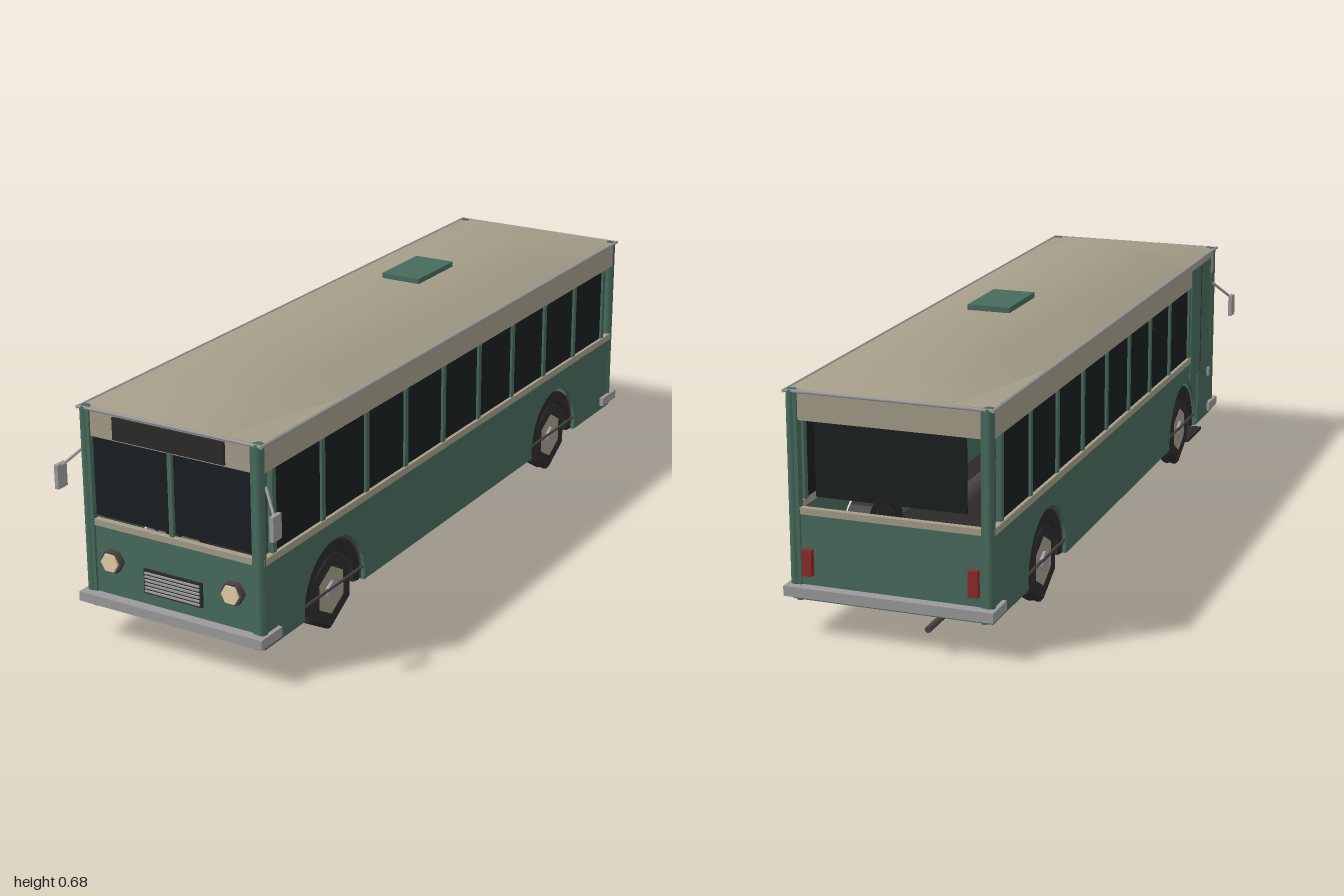
import * as THREE from 'three';

const mat = (color, opts = {}) => new THREE.MeshStandardMaterial({ color, ...opts });
const GREEN = mat(0x476b5c), BEIGE = mat(0xa39c88), GLASS = mat(0x1a1e20), DARK = mat(0x2b2a29);
const FRAME = mat(0x4a4442), GREY = mat(0x9a9a9c), RED = mat(0x8c2a26), LAMP = mat(0xe0cfa8);
const TYRE = mat(0x2c2c2c, { flatShading: true, side: THREE.DoubleSide });
const ROOF = mat(0xa39c88, { side: THREE.DoubleSide });
const WHEELS = [-0.575, 0.64];

export function createModel() {
  const bus = new THREE.Group();
  bus.name = 'bus';

  const add = (name, geo, material, x = 0, y = 0, z = 0, parent = bus) => {
    const m = new THREE.Mesh(geo, material);
    m.name = name;
    m.position.set(x, y, z);
    parent.add(m);
    return m;
  };
  // Box given by its limits on each axis
  const box = (name, material, [x0, x1], [y0, y1], [z0, z1]) =>
    add(name, new THREE.BoxGeometry(x1 - x0, y1 - y0, z1 - z0), material,
      (x0 + x1) / 2, (y0 + y1) / 2, (z0 + z1) / 2);
  // Box limits mirrored to the side s
  const sx = (s, a, b) => (s > 0 ? [a, b] : [-b, -a]);
  // Round bar between two points
  const rod = (name, material, a, b, r, sides = 6) => {
    const p = new THREE.Vector3(...a), q = new THREE.Vector3(...b), d = q.clone().sub(p);
    const m = add(name, new THREE.CylinderGeometry(r, r, d.length(), sides), material);
    m.position.copy(p).add(q).multiplyScalar(0.5);
    m.quaternion.setFromUnitVectors(new THREE.Vector3(0, 1, 0), d.normalize());
    return m;
  };

  // Roof: arched cross-section that flattens towards both ends
  const xs = [-0.26, -0.153, -0.06, 0.06, 0.153, 0.26];
  const hs = [0, 0.045, 0.063, 0.063, 0.045, 0];
  const zs = [-0.955, -0.58, 0.58, 0.955];
  const roof = new THREE.PlaneGeometry(1, 1, 5, 3);
  for (let j = 0; j < 4; j++)
    for (let i = 0; i < 6; i++)
      roof.attributes.position.setXYZ(j * 6 + i, xs[i], 0.6 + hs[i] * (j % 3 ? 1 : 0.04), zs[j]);
  roof.computeVertexNormals();
  add('roof', roof, ROOF);
  box('ceiling', BEIGE, [-0.255, 0.255], [0.592, 0.602], [-0.95, 0.95]);
  box('roofVent', GREEN, [-0.057, 0.057], [0.655, 0.677], [-0.31, -0.12]);

  // Lower side panel with wheel arches, drawn along z and turned to face sideways
  const side = new THREE.Shape();
  const bottom = 0.085, r = 0.14, dip = Math.asin(0.025 / r);
  side.moveTo(-0.955, bottom);
  for (const z of WHEELS) {
    side.lineTo(z - r * Math.cos(dip), bottom);
    side.absarc(z, 0.11, r, Math.PI + dip, -dip, true);
  }
  side.lineTo(0.955, bottom);
  side.lineTo(0.955, 0.302);
  side.lineTo(-0.955, 0.302);
  side.closePath();
  const sideGeo = new THREE.ExtrudeGeometry(side, { depth: 0.01, bevelEnabled: false, curveSegments: 14 });
  sideGeo.rotateY(-Math.PI / 2);

  // Trim ring inside each arch
  const lip = new THREE.Shape();
  lip.absarc(0, 0, 0.13, -dip, Math.PI + dip, false);
  lip.absarc(0, 0, 0.1, Math.PI + dip, -dip, true);
  const lipGeo = new THREE.ExtrudeGeometry(lip, { depth: 0.06, bevelEnabled: false, curveSegments: 10 });
  lipGeo.rotateY(-Math.PI / 2);

  // Six-sided tyre with rounded shoulders
  const tyreGeo = new THREE.LatheGeometry([[0.065, -0.027], [0.098, -0.027], [0.108, -0.019], [0.11, -0.01],
    [0.107, 0], [0.11, 0.01], [0.108, 0.019], [0.098, 0.027], [0.065, 0.027]]
    .map(p => new THREE.Vector2(...p)), 6);
  const disc = (name, material, rad, w, x, parent) => {
    const g = new THREE.CylinderGeometry(rad, rad, w, 6);
    g.rotateZ(Math.PI / 2);
    return add(name, g, material, x, 0, 0, parent);
  };

  for (const s of [1, -1]) {
    add('sidePanel', sideGeo, GREEN, s > 0 ? 0.255 : -0.245);
    box('sideSill', BEIGE, sx(s, 0.244, 0.259), [0.3, 0.318], [-0.955, s > 0 ? 0.955 : 0.7]);
    box('sideHeader', BEIGE, sx(s, 0.243, 0.257), [0.53, 0.6], [-0.955, 0.955]);
    rod('gutter', GREY, [s * 0.26, 0.6, -0.965], [s * 0.26, 0.6, 0.965], 0.0045);
    box('sideGlass', GLASS, sx(s, 0.245, 0.25), [0.318, 0.53], [-0.89, s > 0 ? 0.905 : 0.7]);

    // Window pillars
    for (const z of [0.905, 0.69, 0.485, 0.29, 0.092, -0.105, -0.302, -0.5, -0.695, -0.892])
      box('windowPillar', GREEN, sx(s, 0.242, 0.256), [0.316, 0.532], [z - 0.008, z + 0.008]);

    // Corner posts, one pair at each end
    for (const e of [1, -1]) {
      rod('cornerPost', GREEN, [s * 0.246, 0.09, e * 0.951], [s * 0.246, 0.603, e * 0.951], 0.014, 8);
      box('cornerTrim', GREEN, sx(s, 0.229, 0.241), [0.085, 0.6], e > 0 ? [0.94, 0.962] : [-0.962, -0.94]);
      box('bumperReturn', GREY, sx(s, 0.255, 0.266), [0.1, 0.125], e > 0 ? [0.895, 0.985] : [-0.985, -0.895]);
    }

    // Wheels with hub, cap and cross bar
    for (const z of WHEELS) {
      add('archTrim', lipGeo, DARK, s > 0 ? 0.246 : -0.186, 0.11, z);
      const wheel = new THREE.Group();
      wheel.name = 'wheel';
      wheel.position.set(s * 0.217, 0.11, z);
      wheel.rotation.x = Math.PI / 6;
      bus.add(wheel);
      add('tyre', tyreGeo, TYRE, 0, 0, 0, wheel).rotation.z = Math.PI / 2;
      disc('rim', BEIGE, 0.068, 0.05, 0, wheel);
      disc('hub', GREY, 0.026, 0.066, 0, wheel);
      rod('wheelBar', FRAME, [s * 0.25, 0.12, z - 0.14], [s * 0.25, 0.12, z + 0.14], 0.004);
    }

    // Mirror
    rod('mirrorArm', GREY, [s * 0.257, 0.495, 0.94], [s * 0.307, 0.443, 0.982], 0.004);
    box('mirror', GREY, sx(s, 0.302, 0.313), [0.39, 0.452], [0.962, 0.997]);

    // Headlight and tail light
    const bezel = add('headlightBezel', new THREE.CylinderGeometry(0.031, 0.031, 0.022, 6), FRAME, s * 0.175, 0.218, 0.962);
    bezel.rotation.set(Math.PI / 2, Math.PI / 6, 0);
    const lamp = add('headlight', new THREE.CylinderGeometry(0.025, 0.025, 0.03, 6), LAMP, s * 0.175, 0.218, 0.964);
    lamp.rotation.set(Math.PI / 2, Math.PI / 6, 0);
    box('tailLight', RED, sx(s, 0.198, 0.222), [0.15, 0.215], [-0.97, -0.95]);
  }

  // Front and rear walls
  for (const e of [1, -1]) {
    const zr = (a, b) => (e > 0 ? [a, b] : [-b, -a]);
    box('endPanel', GREEN, [-0.25, 0.25], [0.085, 0.302], zr(0.945, 0.955));
    box('endSill', BEIGE, [-0.23, 0.23], [0.3, 0.316], zr(0.943, 0.959));
    box('endHeader', BEIGE, [-0.235, 0.235], [0.53, 0.6], zr(0.945, 0.957));
    box('bumper', GREY, [-0.266, 0.266], [0.1, 0.125], zr(0.957, 0.985));
    rod('endGutter', GREY, [-0.26, 0.6, e * 0.96], [0.26, 0.6, e * 0.96], 0.004);
  }
  box('windscreen', GLASS, [-0.227, 0.227], [0.325, 0.53], [0.946, 0.951]);
  box('windscreenDivider', GREEN, [-0.006, 0.006], [0.32, 0.532], [0.944, 0.96]);
  box('rearGlass', GLASS, [-0.19, 0.19], [0.345, 0.53], [-0.95, -0.945]);
  box('destinationBoard', DARK, [-0.16, 0.158], [0.535, 0.592], [0.95, 0.963]);

  // Grille
  box('grille', DARK, [-0.085, 0.083], [0.155, 0.218], [0.95, 0.962]);
  for (let i = 0; i < 6; i++)
    box('grilleSlat', GREY, [-0.08, 0.078], [0.161 + i * 0.0095, 0.165 + i * 0.0095], [0.96, 0.967]);

  // Entrance door and step
  box('door', GREEN, [-0.259, -0.243], [0.25, 0.58], [0.7, 0.905]);
  box('doorLower', GREEN, [-0.259, -0.243], [0.09, 0.25], [0.785, 0.905]);
  box('doorSeam', DARK, [-0.26, -0.25], [0.255, 0.575], [0.8, 0.804]);
  box('doorHandle', GREY, [-0.265, -0.255], [0.215, 0.24], [0.885, 0.9]);
  box('doorStep', DARK, [-0.248, -0.16], [0.044, 0.052], [0.73, 0.878]);

  // Floor: full width between the axles, narrow at the wheels
  const cuts = [-0.945, -0.715, -0.435, 0.5, 0.78, 0.945];
  for (let i = 0; i < 5; i++) {
    const w = i % 2 ? 0.185 : 0.245;
    box('floor', DARK, [-w, w], [0.084, 0.094], [cuts[i], cuts[i + 1]]);
  }
  box('chassis', FRAME, [-0.163, 0.163], [0.062, 0.085], [-0.87, 0.92]);
  box('chassisPan', DARK, [-0.15, 0.15], [0.06, 0.07], [-0.85, 0.9]);
  for (const z of WHEELS) rod('axle', FRAME, [-0.2, 0.11, z], [0.2, 0.11, z], 0.015, 8);
  rod('fuelTank', FRAME, [0.15, 0.078, -0.25], [0.15, 0.078, 0.19], 0.034, 8);
  rod('exhaustPipe', FRAME, [-0.11, 0.07, -0.8], [-0.11, 0.07, -1], 0.008, 8);

  // Steering column and dashboard fitting
  rod('steeringColumn', FRAME, [-0.118, 0.1, 0.86], [-0.118, 0.325, 0.86], 0.004);

  return bus;
}
